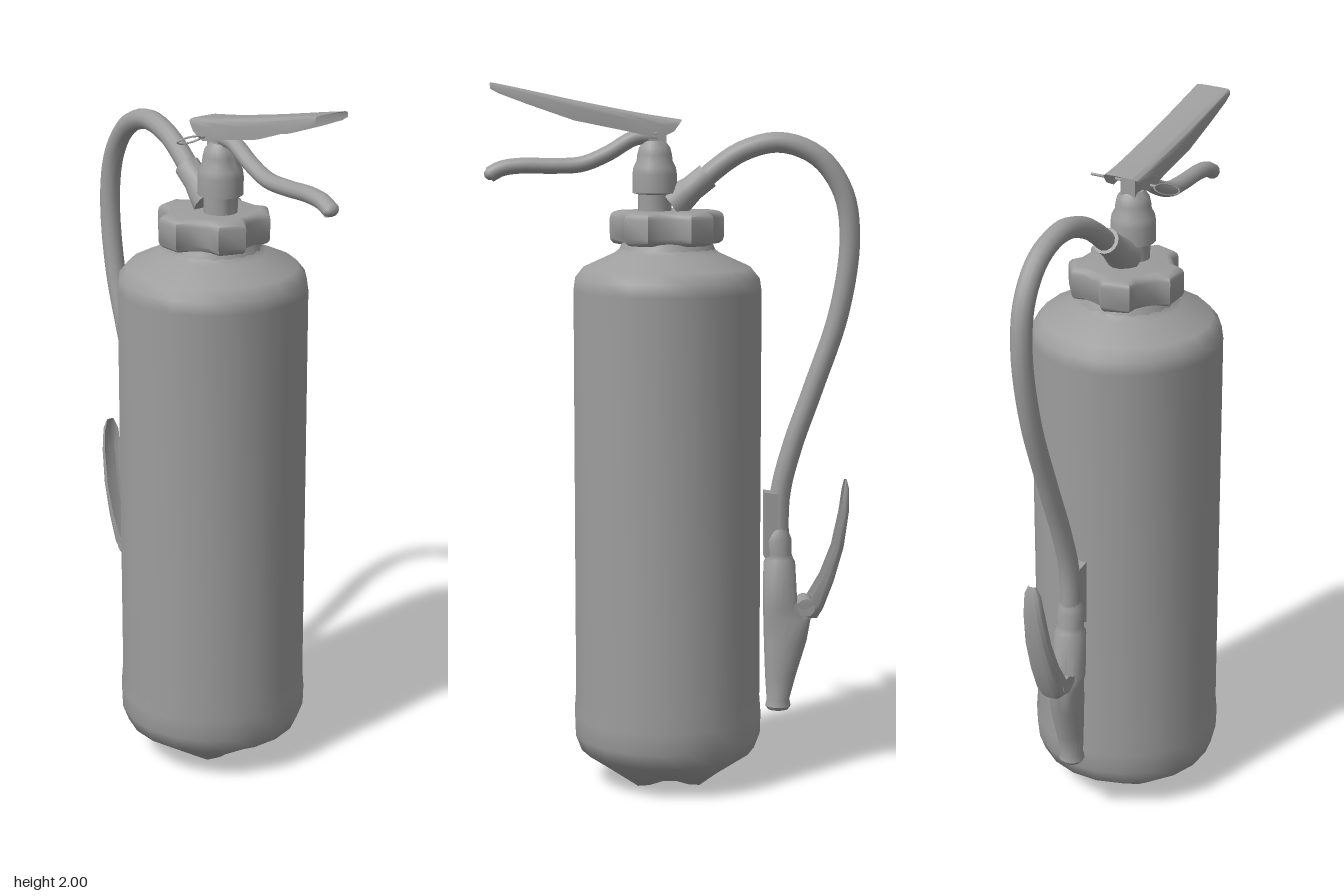
import * as THREE from 'three';
import { mergeVertices, toCreasedNormals } from 'three/addons/utils/BufferGeometryUtils.js';

const grey = new THREE.MeshStandardMaterial({ color: 0x9d9d9d, side: THREE.DoubleSide });
const V = (x, y, z = 0) => new THREE.Vector3(x, y, z);
const P = (list) => list.map(([x, y]) => new THREE.Vector2(x, y));

export function createModel() {
  const model = new THREE.Group();

  const add = (name, geometry, x = 0, y = 0, z = 0) => {
    const mesh = new THREE.Mesh(geometry, grey);
    mesh.name = name;
    mesh.position.set(x, y, z);
    model.add(mesh);
    return mesh;
  };
  const lathe = (points, sides) => new THREE.LatheGeometry(P(points), sides);
  const tube = (points, r, segments = 40, sides = 12) =>
    new THREE.TubeGeometry(new THREE.CatmullRomCurve3(points), segments, r, sides);

  // Skin joining rows of points, each row an array of vectors
  const skin = (rows) => {
    const n = rows[0].length, index = [];
    for (let j = 1; j < rows.length; j++) {
      for (let i = 0; i < n - 1; i++) {
        const a = (j - 1) * n + i, b = j * n + i;
        index.push(a, b, a + 1, b, b + 1, a + 1);
      }
    }
    const g = new THREE.BufferGeometry().setFromPoints(rows.flat());
    g.setIndex(index);
    return toCreasedNormals(g, 0.8);
  };
  // Horizontal elliptical rings: [y, centre x, radius x, radius z]
  const loft = (rings, sides = 16) => skin(rings.map(([y, cx, rx, rz]) =>
    Array.from({ length: sides + 1 }, (_, i) => {
      const a = ((i % sides) / sides) * Math.PI * 2;
      return V(cx + rx * Math.cos(a), y, rz * Math.sin(a));
    })));
  // Open U-shaped channel: [back x, back y, rim x, rim y, half width]; a lower power is squarer
  const channel = (stations, power) => skin(stations.map(([bx, by, rx, ry, w]) =>
    Array.from({ length: 17 }, (_, i) => {
      const a = (i / 16) * Math.PI, c = Math.cos(a);
      const s = Math.pow(Math.max(0, Math.sin(a)), power);
      return V(rx + (bx - rx) * s, ry + (by - ry) * s, w * Math.sign(c) * Math.pow(Math.abs(c), power));
    })));

  // Tank: twenty sides, with four feet pressed into the base
  let tank = lathe([[0, 0.03], [0.06, 0.025], [0.125, 0], [0.19, 0.048], [0.252, 0.095],
    [0.269, 0.14], [0.271, 0.2], [0.267, 0.25], [0.267, 1.42], [0.262, 1.455], [0.238, 1.485],
    [0.15, 1.525], [0.125, 1.545], [0.12, 1.57], [0, 1.57]], 20).rotateY(Math.PI / 20);
  const tp = tank.attributes.position;
  for (let i = 0; i < tp.count; i++) {
    const r = Math.hypot(tp.getX(i), tp.getZ(i)), a = Math.atan2(tp.getZ(i), tp.getX(i));
    if (tp.getY(i) < 0.08 && r > 0.1) {
      tp.setY(i, tp.getY(i) + (r < 0.15 ? 0.026 : 0.012) * (1 + Math.cos(4 * a)) / 2);
    }
  }
  tank.deleteAttribute('uv');
  tank.deleteAttribute('normal');
  tank = mergeVertices(tank);
  tank.computeVertexNormals();
  add('tank', tank, 0.012);

  // Five-lobed collar nut with softened edges
  const lobes = [];
  for (let i = 0; i < 5; i++) {
    const mid = -Math.PI / 2 + (i * Math.PI * 2) / 5;
    for (const [da, r] of [[-0.33, 0.116], [-0.19, 0.139], [0.19, 0.139], [0.33, 0.116]]) {
      lobes.push([r * Math.cos(mid + da), r * Math.sin(mid + da)]);
    }
  }
  const nut = new THREE.ExtrudeGeometry(new THREE.Shape(P(lobes)),
    { depth: 0.054, bevelThickness: 0.02, bevelSize: 0.02, bevelSegments: 3 });
  add('collarNut', toCreasedNormals(nut.rotateX(-Math.PI / 2), 1), 0.012, 1.57);
  add('collarNeck', new THREE.CylinderGeometry(0.125, 0.138, 0.03, 20), 0.012, 1.545);

  // Valve stem, bulb and lever pivot
  add('valve', toCreasedNormals(lathe([[0, 1.63], [0.047, 1.63], [0.047, 1.69], [0.063, 1.694], [0.063, 1.745],
    [0.06, 1.765], [0.051, 1.782], [0.049, 1.8], [0.044, 1.82], [0.03, 1.838], [0, 1.838]], 18), 0.8), 0.047);
  add('leverPivot', new THREE.BoxGeometry(0.05, 0.08, 0.045), 0.04, 1.85);

  // Angled hose outlet
  const outlet = lathe([[0, 0], [0.05, 0], [0.042, 0.05], [0.037, 0.075], [0.037, 0.13], [0, 0.13]], 14);
  add('hoseOutlet', toCreasedNormals(outlet, 0.7), 0.0, 1.66).rotation.z = 0.9;

  // Hose looping over and down the side
  add('hose', tube([V(-0.06, 1.70), V(-0.11, 1.748, -0.003), V(-0.2, 1.81, -0.008), V(-0.305, 1.834, -0.014),
    V(-0.41, 1.795, -0.02), V(-0.48, 1.70, -0.022), V(-0.502, 1.57, -0.02), V(-0.475, 1.36, -0.015),
    V(-0.40, 1.13, -0.01), V(-0.345, 0.97, -0.005), V(-0.312, 0.83), V(-0.31, 0.64)], 0.029, 64));

  // Nozzle with its collar and the clip against the tank
  add('nozzle', loft([[0.20, -0.31, 0.001, 0.001], [0.20, -0.31, 0.03, 0.03], [0.21, -0.31, 0.037, 0.037],
    [0.228, -0.31, 0.033, 0.033], [0.3, -0.317, 0.045, 0.037], [0.4, -0.33, 0.062, 0.042],
    [0.47, -0.335, 0.069, 0.042], [0.5, -0.315, 0.05, 0.044], [0.635, -0.311, 0.046, 0.046],
    [0.645, -0.311, 0.04, 0.04], [0.66, -0.308, 0.038, 0.038], [0.7, -0.306, 0.04, 0.04],
    [0.72, -0.305, 0.034, 0.034], [0.74, -0.308, 0.026, 0.026]]));
  const clip = new THREE.Shape(P([[-0.31, 0.67], [-0.267, 0.65], [-0.265, 0.842], [-0.31, 0.835]]));
  add('nozzleClip', new THREE.ExtrudeGeometry(clip, { depth: 0.055, bevelEnabled: false }), 0, 0, -0.0275);

  // Nozzle trigger: a tapering curved channel open towards the tank
  add('nozzleTrigger', channel([[-0.503, 0.874, -0.497, 0.874, 0.012], [-0.509, 0.85, -0.492, 0.845, 0.024],
    [-0.509, 0.78, -0.484, 0.78, 0.031], [-0.495, 0.68, -0.464, 0.68, 0.037], [-0.467, 0.58, -0.432, 0.595, 0.041],
    [-0.437, 0.5, -0.395, 0.53, 0.043], [-0.42, 0.472, -0.352, 0.52, 0.043], [-0.405, 0.472, -0.35, 0.495, 0.04]],
  0.6), 0, 0, -0.005);
  add('triggerPivot', new THREE.CylinderGeometry(0.026, 0.026, 0.085, 12).rotateX(Math.PI / 2), -0.385, 0.508, -0.005);

  // Upper lever: a square-shouldered channel open underneath
  add('upperLever', channel([[-0.028, 1.897, -0.005, 1.865, 0.054], [0.03, 1.906, 0.035, 1.846, 0.054],
    [0.08, 1.914, 0.08, 1.856, 0.054], [0.16, 1.929, 0.16, 1.873, 0.054], [0.27, 1.951, 0.27, 1.895, 0.054],
    [0.4, 1.979, 0.4, 1.94, 0.054], [0.48, 1.996, 0.48, 1.97, 0.054], [0.503, 2, 0.503, 1.983, 0.054]], 0.3));

  // Lower carrying handle with a turned-down tip
  const handle = tube([V(0.04, 1.85), V(0.1, 1.847), V(0.18, 1.802), V(0.25, 1.774),
    V(0.33, 1.769), V(0.42, 1.77), V(0.475, 1.762), V(0.508, 1.745)], 0.022, 36);
  add('lowerHandle', handle.scale(1, 1, 1.1));
  add('handleTip', new THREE.SphereGeometry(0.022, 12, 8), 0.504, 1.747).scale.set(0.9, 0.8, 1.1);

  // Safety pin and flattened pull ring
  add('safetyPin', new THREE.CylinderGeometry(0.004, 0.004, 0.2, 8).rotateX(Math.PI / 2), 0.045, 1.86, -0.03);
  const ring = new THREE.TorusGeometry(0.038, 0.003, 6, 20).rotateX(Math.PI / 2).scale(0.4, 1, 1);
  add('pullRing', ring, 0.043, 1.858, 0.105).rotation.z = 0.8;

  return model;
}
